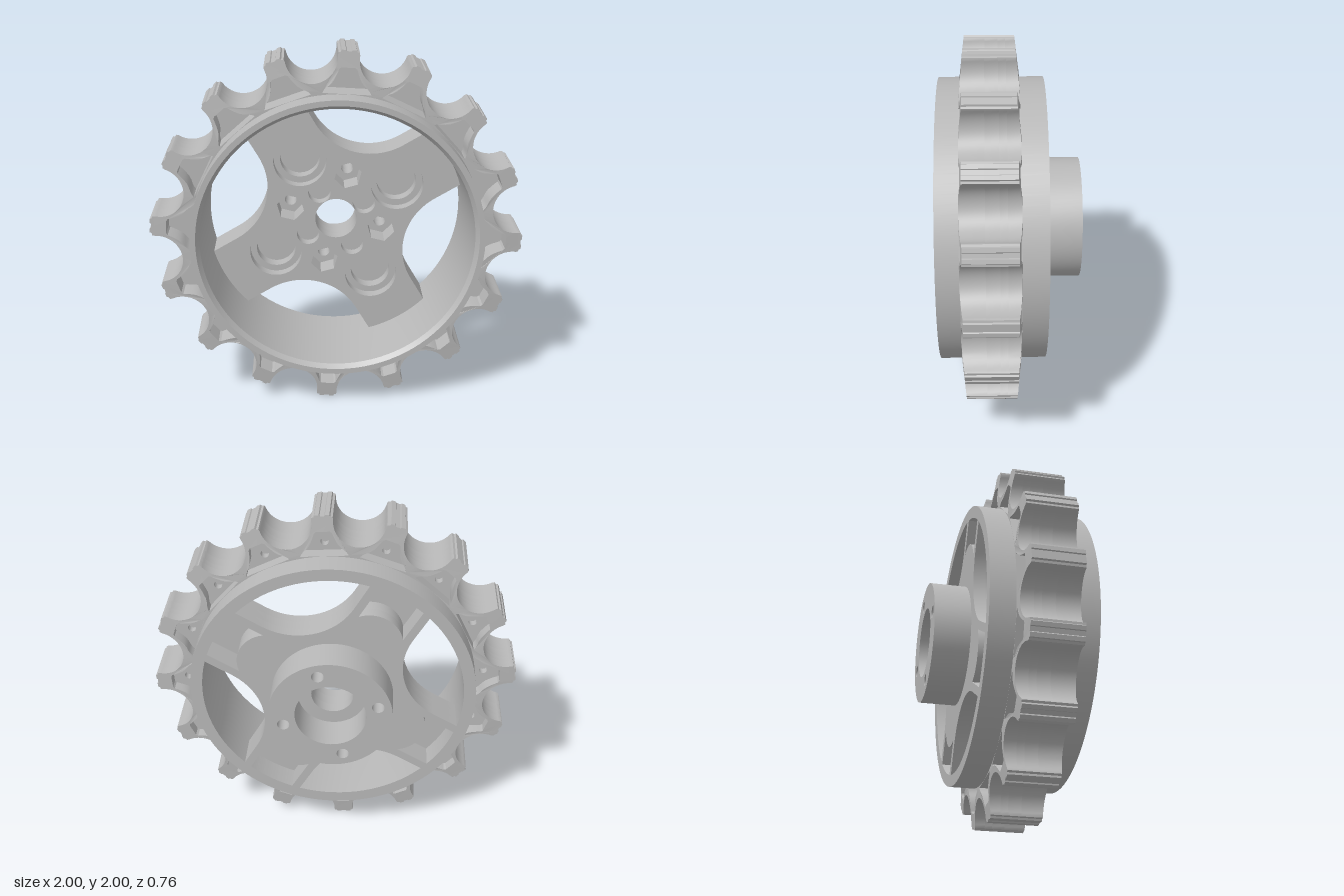
import * as THREE from 'three';
import { toCreasedNormals } from 'three/addons/utils/BufferGeometryUtils.js';

const RAD = Math.PI / 180;
const TEETH = 16, TOOTH_ANGLE = 86.5 * RAD, PITCH = 2 * Math.PI / TEETH;
const SPOKE_ANGLE = 30.25 * RAD, QUARTER = Math.PI / 2;

// Point at u along a radius of the given angle and v sideways from it
const polar = (angle, u, v = 0) => new THREE.Vector2(
  u * Math.cos(angle) - v * Math.sin(angle),
  u * Math.sin(angle) + v * Math.cos(angle));

// Points of an arc around (cu, cv) in the frame turned by angle
function arc(angle, cu, cv, r, from, to, n) {
  const pts = [];
  for (let i = 0; i <= n; i++) {
    const t = from + (to - from) * i / n;
    pts.push(polar(angle, cu + r * Math.cos(t), cv + r * Math.sin(t)));
  }
  return pts;
}

const circle = (angle, u, r, n = 40) => arc(angle, u, 0, r, 0, 2 * Math.PI * (1 - 1 / n), n - 1);
const four = (offset, make) => [0, 1, 2, 3].map(k => make(SPOKE_ANGLE + offset + k * QUARTER));

function slab(outline, holes, z0, z1) {
  const shape = new THREE.Shape(outline);
  shape.holes = holes.map(h => new THREE.Path(h));
  const geo = new THREE.ExtrudeGeometry(shape, { depth: z1 - z0, bevelEnabled: false });
  return geo.translate(0, 0, z0);
}

// Toothed outline: finely stepped tips joined by half-round scallops
function toothOutline() {
  const tip = [[0.972, -0.056], [0.985, -0.054], [0.988, -0.042], [0.998, -0.038], [0.998, -0.016],
    [0.992, -0.012], [0.992, 0.012], [0.998, 0.016], [0.998, 0.038], [0.988, 0.042], [0.985, 0.054], [0.972, 0.056]];
  const pts = [];
  for (let k = 0; k < TEETH; k++) {
    const a = TOOTH_ANGLE + k * PITCH;
    tip.forEach(([u, v]) => pts.push(polar(a, u, v)));
    pts.push(...arc(a + PITCH / 2, 0.972, 0, 0.135, Math.PI + 1.45, Math.PI - 1.45, 22));
  }
  return pts;
}

// Flared recess inside one tooth
function toothPocket(a) {
  const side = [[0.776, 0.125], [0.79, 0.118], [0.805, 0.105], [0.82, 0.088], [0.84, 0.072],
    [0.865, 0.06], [0.89, 0.05], [0.902, 0.046], [0.91, 0.035]];
  return [...side.map(([u, v]) => polar(a, u, -v)), ...side.reverse().map(([u, v]) => polar(a, u, v))];
}

// Four parallel-sided spokes with wide fillets between them
function webOutline() {
  const half = Math.asin(0.18 / 0.715);
  return four(0, a => [
    ...arc(a, 0, 0, 0.715, -half, half, 10),
    ...arc(a, 0.53, 0.53, 0.35, -Math.PI / 2, -Math.PI, 20),
  ]).flat();
}

// Rear recess at a spoke end, curved around the round boss
function spokePocket(a) {
  const outer = Math.asin(0.135 / 0.71), inner = Math.asin(0.135 / 0.175);
  return [...arc(a, 0, 0, 0.71, -outer, outer, 8), ...arc(a, 0.39, 0, 0.175, inner, -inner, 14)];
}

export function createModel() {
  const model = new THREE.Group();
  model.name = 'sprocketWheel';
  const grey = new THREE.MeshStandardMaterial({ color: 0xb8b8b8 });
  grey.name = 'grey';

  const add = (name, geo, parent) => {
    const mesh = new THREE.Mesh(toCreasedNormals(geo, 0.55), grey);
    mesh.name = name;
    parent.add(mesh);
  };
  const group = name => {
    const g = new THREE.Group();
    g.name = name;
    model.add(g);
    return g;
  };

  // Drum with a drafted inside and a chamfered front lip
  const profile = [[0.71, -0.185], [0.775, -0.185], [0.775, 0.38], [0.745, 0.38],
    [0.725, 0.355], [0.71, 0.01], [0.71, -0.185]].map(p => new THREE.Vector2(...p));
  add('drum', new THREE.LatheGeometry(profile, 96).rotateX(Math.PI / 2), model);

  // Tooth ring: pocketed front and back around a middle floor
  const ring = group('toothRing');
  const outline = toothOutline();
  const bore = circle(0, 0, 0.768, 96);
  const each = make => Array.from({ length: TEETH }, (_, k) => make(TOOTH_ANGLE + k * PITCH));
  const pockets = each(toothPocket);
  const pinHoles = each(a => circle(a, 0.825, 0.022, 16));
  const layers = [
    ['toothFront', pockets, 0.13, 0.26],
    ['toothFloor', [], 0.06, 0.13],
    ['toothPinHoles', pinHoles, 0.02, 0.06],
    ['toothBack', pockets, -0.05, 0.02],
  ];
  for (const [name, holes, z0, z1] of layers) {
    const geo = slab(outline, [bore, ...holes], z0, z1);
    // Thin the outer faces slightly towards the tips
    const p = geo.attributes.position;
    for (let i = 0; i < p.count; i++) {
      const z = p.getZ(i) - 0.105;
      const r = Math.hypot(p.getX(i), p.getY(i));
      if (Math.abs(z) > 0.15 && r > 0.82) p.setZ(i, p.getZ(i) - Math.sign(z) * 0.02 * (r - 0.82) / 0.18);
    }
    add(name, geo, ring);
  }

  // Spoked web: stepped round recesses, hex sockets and rear pockets
  const web = group('spokedWeb');
  const spokes = webOutline();
  const centre = circle(0, 0, 0.115, 48);
  const bolts = four(QUARTER / 2, a => circle(a, 0.26, 0.033, 20));
  const hexes = four(QUARTER / 2, a => circle(a, 0.26, 0.077, 6));
  const links = four(0, a => circle(a, 0.18, 0.063, 24));
  const wide = four(0, a => circle(a, 0.39, 0.145));
  const narrow = four(0, a => circle(a, 0.39, 0.11));
  const rear = four(0, spokePocket);
  add('webFront', slab(spokes, [centre, ...hexes, ...links, ...wide], -0.05, 0.01), web);
  add('webMiddle', slab(spokes, [centre, ...hexes, ...narrow, ...rear], -0.12, -0.05), web);
  add('webBack', slab(spokes, [centre, ...bolts, ...rear], -0.185, -0.12), web);

  // Rear hub with a wide bore and four bolt holes
  add('hub', slab(circle(0, 0, 0.33, 72), [circle(0, 0, 0.19, 48), ...bolts], -0.38, -0.185), model);

  model.children.forEach(part => { part.position.y = 1; });
  return model;
}
